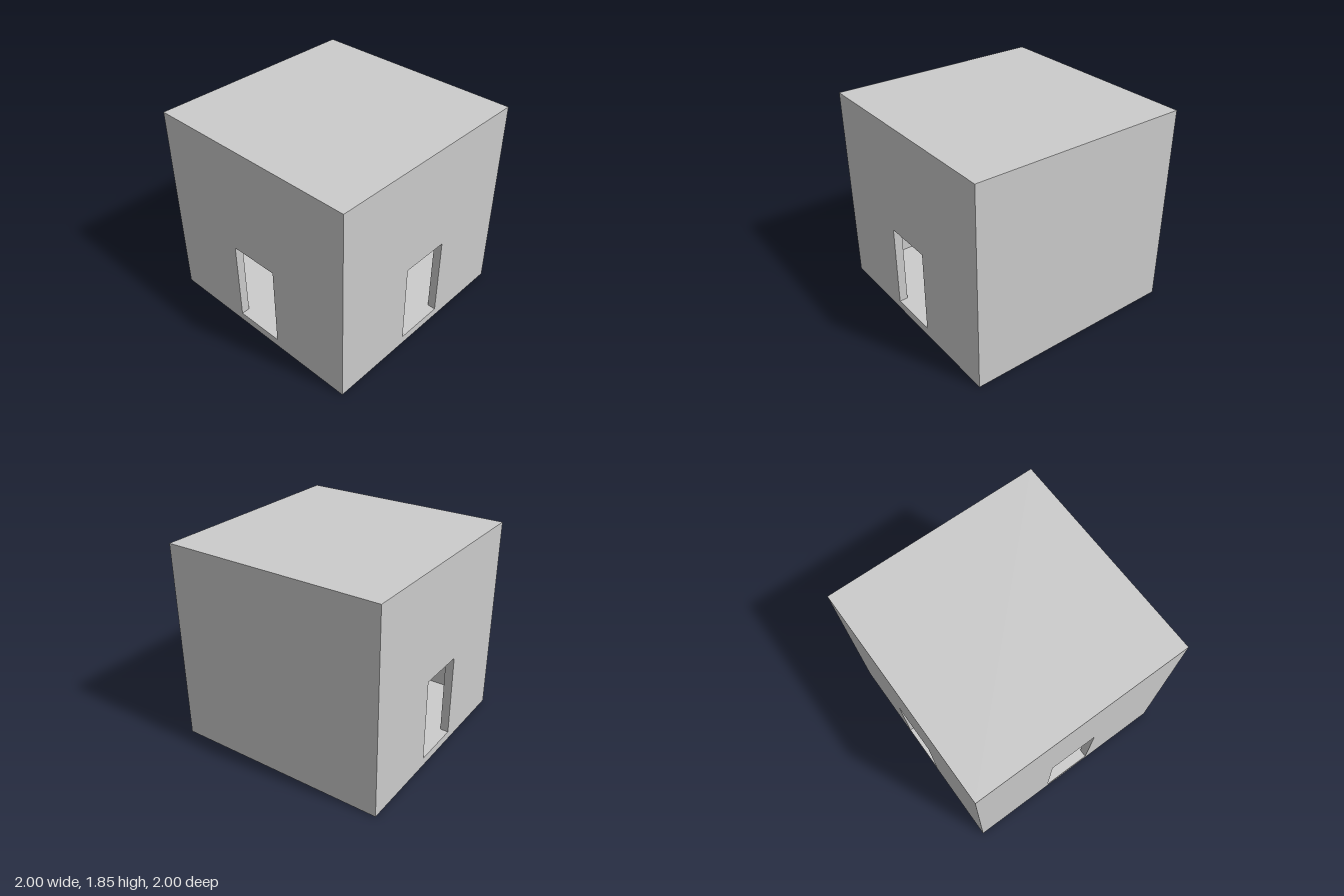
import * as THREE from 'three';

const U = 1 / 13; // module: one wall thickness
const W = 26 * U, H = 24 * U; // outer width and height
const DOOR_W = 6 * U, DOOR_H = 10 * U;

const grey = new THREE.MeshStandardMaterial({ color: 0xcccccc, flatShading: true });

function box(name, w, h, d, x, y, z) {
  const mesh = new THREE.Mesh(new THREE.BoxGeometry(w, h, d), grey);
  mesh.name = name;
  mesh.position.set(x, y, z);
  return mesh;
}

// Upright wall slab standing on the floor, its outer face looking along +z before turning
function wall(name, width, hasDoor, turn) {
  const w = width / 2, h = H - 2 * U, d = DOOR_W / 2;
  const outline = [[-w, 0]];
  if (hasDoor) outline.push([-d, 0], [-d, DOOR_H], [d, DOOR_H], [d, 0]);
  outline.push([w, 0], [w, h], [-w, h]);
  const shape = new THREE.Shape(outline.map(([x, y]) => new THREE.Vector2(x, y)));
  const geometry = new THREE.ExtrudeGeometry(shape, { depth: U, bevelEnabled: false });
  geometry.translate(0, U, W / 2 - U);
  geometry.rotateY(turn);
  const mesh = new THREE.Mesh(geometry, grey);
  mesh.name = name;
  return mesh;
}

export function createModel() {
  const room = new THREE.Group();
  room.name = 'room';

  // Shell: floor, roof and four walls, three of them with a doorway
  room.add(
    box('floor', W, U, W, 0, U / 2, 0),
    box('roof', W, U, W, 0, H - U / 2, 0),
    wall('frontWall', W, true, 0),
    wall('backWall', W, false, Math.PI),
    wall('leftWall', W - 2 * U, true, Math.PI / 2),
    wall('rightWall', W - 2 * U, true, -Math.PI / 2)
  );

  // Closed panel on the inside of the back wall, with a crossbar and two small handles
  const panel = new THREE.Group();
  panel.name = 'backPanel';
  const depth = U / 2;
  const face = -W / 2 + U + depth;
  panel.add(
    box('panelBoard', 0.82, DOOR_H, depth, 0, U + DOOR_H / 2, face - depth / 2),
    box('crossbar', 0.82, 0.016, 0.012, 0, 0.398, face + 0.006)
  );
  for (const side of [-1, 1]) {
    panel.add(box('handle', 0.015, 0.018, 0.014, side * 0.019, 0.398, face + 0.014));
  }
  room.add(panel);
  return room;
}
